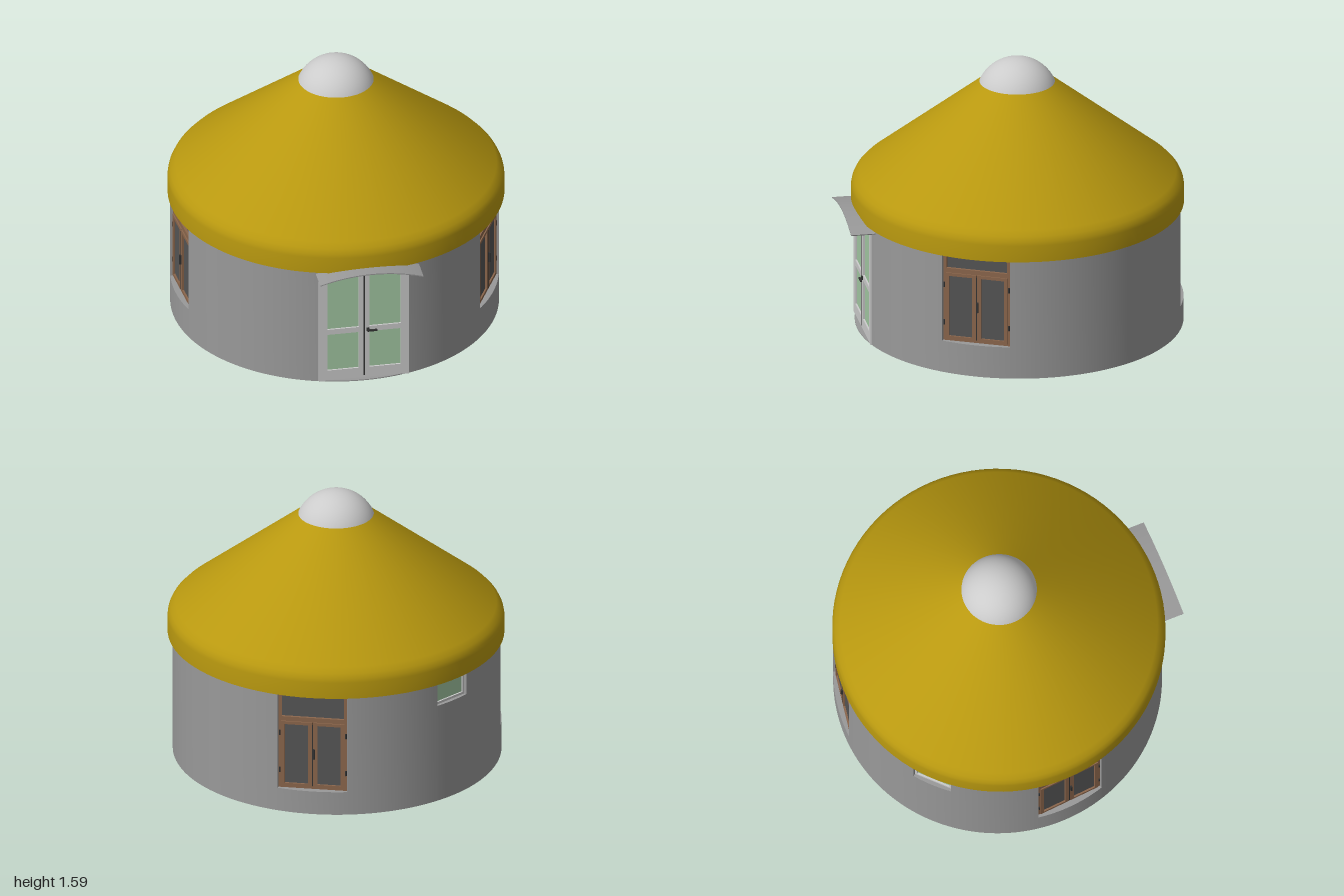
import * as THREE from 'three';
import { toCreasedNormals } from 'three/addons/utils/BufferGeometryUtils.js';

const mat = (color, side = THREE.FrontSide) => new THREE.MeshStandardMaterial({ color, side });
const wallMat = mat(0x999999), lightMat = mat(0xcccccc), woodMat = mat(0x8b664c);
const darkMat = mat(0x555555), ironMat = mat(0x333333), greenMat = mat(0xa3c8a3);
const roofMat = mat(0xb8980f, THREE.DoubleSide), awningMat = mat(0x999999, THREE.DoubleSide);
const domeMat = mat(0xcccccc, THREE.DoubleSide);

const R = 0.932, R_IN = 0.86, WALL_TOP = 0.82;
const rad = THREE.MathUtils.degToRad;

function add(parent, name, geometry, material, x = 0, y = 0, z = 0) {
  const mesh = new THREE.Mesh(geometry, material);
  mesh.name = name;
  mesh.position.set(x, y, z);
  parent.add(mesh);
  return mesh;
}

function rect(Type, x0, y0, x1, y1) {
  return new Type([[x0, y0], [x1, y0], [x1, y1], [x0, y1]].map(p => new THREE.Vector2(...p)));
}

// flat frame with rectangular holes; every rectangle is [x0, y0, x1, y1]
function frame(outer, holes, depth) {
  const shape = rect(THREE.Shape, ...outer);
  shape.holes = holes.map(h => rect(THREE.Path, ...h));
  return new THREE.ExtrudeGeometry(shape, { depth, bevelEnabled: false });
}

function pane(parent, name, [x0, y0, x1, y1], material, z) {
  add(parent, name, new THREE.BoxGeometry(x1 - x0, y1 - y0, 0.01), material, (x0 + x1) / 2, (y0 + y1) / 2, z);
}

// curved piece of wall between two compass angles (0 = front, 90 = +x)
function wallPiece(parent, from, to, y0, y1) {
  const a = rad(from - 90), b = rad(to - 90);
  const shape = new THREE.Shape();
  shape.absarc(0, 0, R, a, b, false);
  shape.absarc(0, 0, R_IN, b, a, true);
  const geo = new THREE.ExtrudeGeometry(shape, {
    depth: y1 - y0, bevelEnabled: false, curveSegments: Math.max(6, Math.ceil((to - from) / 3)),
  });
  geo.rotateX(-Math.PI / 2);
  add(parent, 'wall', toCreasedNormals(geo, 0.5), wallMat, 0, y0, 0);
}

// twin casement with a transom pane above
function makeWindow() {
  const g = new THREE.Group();
  const opening = [-0.182, 0.015, 0.182, 0.41], transom = [-0.178, 0.44, 0.178, 0.57];
  add(g, 'windowFrame', frame([-0.2, 0, 0.2, 0.59], [opening, transom], 0.04), woodMat, 0, 0, -0.04);
  pane(g, 'transomGlass', transom, darkMat, -0.02);
  for (const s of [-1, 1]) {
    const glass = [s * 0.094 - 0.067, 0.03, s * 0.094 + 0.067, 0.395];
    add(g, 'casement', frame([s * 0.0925 - 0.0895, 0.012, s * 0.0925 + 0.0895, 0.413], [glass], 0.025), woodMat, 0, 0, -0.018);
    pane(g, 'windowGlass', glass, darkMat, -0.008);
    for (const y of [0.11, 0.34]) {
      add(g, 'hinge', new THREE.CylinderGeometry(0.005, 0.005, 0.03, 8), ironMat, s * 0.19, y, 0.003);
    }
  }
  add(g, 'middleGap', new THREE.BoxGeometry(0.005, 0.38, 0.004), ironMat, 0, 0.21, 0.006);
  add(g, 'windowHandle', new THREE.BoxGeometry(0.01, 0.06, 0.014), ironMat, 0.008, 0.22, 0.012);
  return g;
}

// small green ventilation window under the eaves
function makeVent() {
  const g = new THREE.Group();
  const glass = [-0.1, 0.014, 0.1, 0.2];
  add(g, 'ventFrame', frame([-0.115, 0, 0.115, 0.215], [glass], 0.04), lightMat, 0, 0, -0.04);
  pane(g, 'ventGlass', glass, greenMat, -0.015);
  return g;
}

// glazed double door with a curved awning
function makeDoor() {
  const g = new THREE.Group();
  const panes = [];
  for (const [x0, x1] of [[-0.212, -0.03], [0.03, 0.212]]) {
    panes.push([x0, 0.068, x1, 0.302], [x0, 0.335, x1, 0.67]);
  }
  add(g, 'doorLeaves', frame([-0.26, 0, 0.26, 0.73], panes, 0.04), lightMat, 0, 0.002, -0.04);
  for (const p of panes) pane(g, 'doorGlass', p, greenMat, -0.015);
  add(g, 'doorGap', new THREE.BoxGeometry(0.007, 0.68, 0.006), ironMat, 0, 0.36, 0);
  add(g, 'handlePlate', new THREE.BoxGeometry(0.014, 0.022, 0.01), ironMat, 0.022, 0.318, 0.005);
  add(g, 'doorHandle', new THREE.BoxGeometry(0.055, 0.01, 0.01), ironMat, 0.045, 0.318, 0.018);

  // awning: thin circular arc, extruded outward
  const half = 0.298, rise = 0.045, r = (half * half + rise * rise) / (2 * rise);
  const a = Math.asin(half / r), cy = 0.748 - r;
  const arc = new THREE.Shape();
  arc.absarc(0, cy, r, Math.PI / 2 - a, Math.PI / 2 + a, false);
  arc.absarc(0, cy, r - 0.006, Math.PI / 2 + a, Math.PI / 2 - a, true);
  const geo = new THREE.ExtrudeGeometry(arc, { depth: 0.14, bevelEnabled: false, curveSegments: 24 });
  add(g, 'awning', toCreasedNormals(geo, 0.5), awningMat, 0.022, 0, -0.018);
  return g;
}

export function createModel() {
  const model = new THREE.Group();
  model.name = 'yurt';

  const body = new THREE.Group();
  body.name = 'body';
  body.position.set(-0.008, 0, -0.066);
  model.add(body);

  // openings in order around the wall
  const openings = [
    { name: 'ventWindow', angle: -126.5, half: 0.115, sill: 0.59, out: 0.91, make: makeVent },
    { name: 'leftWindow', angle: -76, half: 0.2, sill: 0.18, out: 0.895, make: makeWindow },
    { name: 'door', angle: 9.5, half: 0.26, sill: 0, out: 0.905, make: makeDoor },
    { name: 'rightWindow', angle: 73.5, half: 0.2, sill: 0.19, out: 0.895, make: makeWindow },
    { name: 'backWindow', angle: 180, half: 0.2, sill: 0.14, out: 0.895, make: makeWindow },
  ];
  openings.forEach((o, i) => {
    const spread = q => THREE.MathUtils.radToDeg(Math.asin(q.half / R));
    const next = openings[(i + 1) % openings.length];
    const start = o.angle + spread(o);
    let end = next.angle - spread(next);
    if (end < start) end += 360;
    wallPiece(body, start, end, 0, WALL_TOP);
    if (o.sill > 0) wallPiece(body, o.angle - spread(o), start, 0, o.sill);

    const part = o.make();
    part.name = o.name;
    const a = rad(o.angle);
    part.position.set(Math.sin(a) * o.out, o.sill, Math.cos(a) * o.out);
    part.rotation.y = a;
    body.add(part);
  });

  // floor slab, also the door threshold
  add(body, 'floor', new THREE.CylinderGeometry(R, R, 0.006, 120), wallMat, 0, 0.003, 0);

  // roof: skirt, rounded shoulder and cone, slightly oval
  const profile = [[0.93, 0.722], [0.955, 0.722], [0.955, 0.82], [0.951, 0.843], [0.938, 0.87], [0.91, 0.9], [0.212, 1.45]];
  const roofGeo = new THREE.LatheGeometry(profile.map(p => new THREE.Vector2(...p)), 96);
  add(model, 'roof', toCreasedNormals(roofGeo, 0.6), roofMat, 0, 0, -0.057).scale.z = 0.988;

  // crown dome: shallow spherical cap
  const base = 0.214, height = 0.137, r = (base * base + height * height) / (2 * height);
  const dome = new THREE.SphereGeometry(r, 64, 16, 0, Math.PI * 2, 0, Math.asin(base / r));
  add(model, 'crownDome', dome, domeMat, 0, 1.587 - r, -0.055);

  return model;
}
